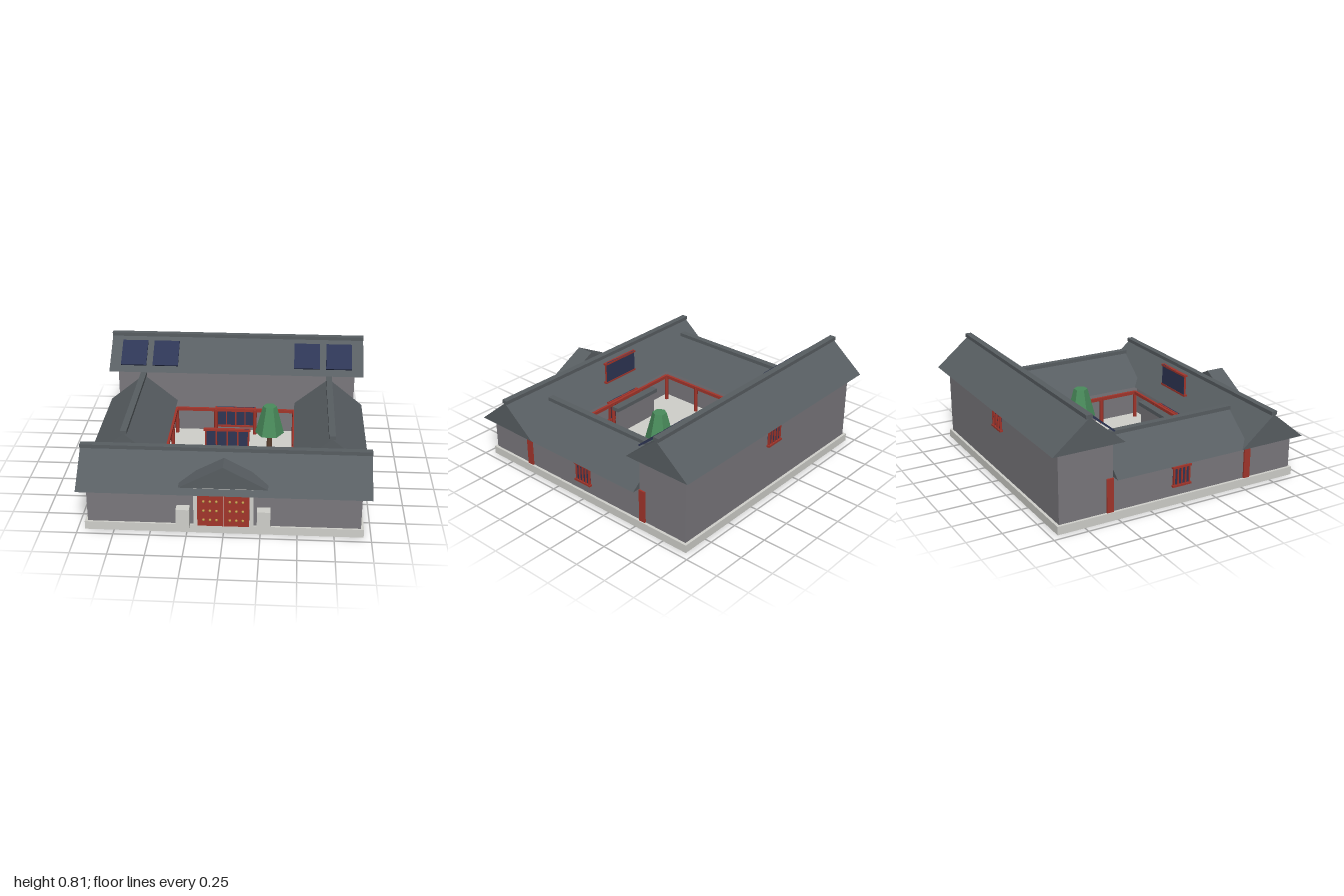
import * as THREE from 'three';

const mat = (name, color) => {
  const m = new THREE.MeshStandardMaterial({ color });
  m.name = name;
  return m;
};

export function createModel() {
  const M = {
    stone: mat('pale stone', 0xd0d0cb),
    wall: mat('grey brick', 0x7a787d),
    roof: mat('roof tile', 0x585e62),
    red: mat('red lacquer', 0xa3352b),
    glass: mat('dark blue glass', 0x2e3655),
    gold: mat('gold stud', 0xc9a050),
    leaf: mat('foliage', 0x4a8c5c),
    trunk: mat('bark', 0x5c4030),
  };
  const root = new THREE.Group();
  root.name = 'courtyardHouse';

  const add = (name, geo, material, parent = root) => {
    const mesh = new THREE.Mesh(geo, material);
    mesh.name = name;
    parent.add(mesh);
    return mesh;
  };
  // Box given by its limits on each axis
  const box = (name, material, [x0, x1], [y0, y1], [z0, z1], parent = root) => {
    const m = add(name, new THREE.BoxGeometry(x1 - x0, y1 - y0, z1 - z0), material, parent);
    m.position.set((x0 + x1) / 2, (y0 + y1) / 2, (z0 + z1) / 2);
    return m;
  };
  // Gabled prism with its ridge along z
  const gable = (half, rise, length) => {
    const s = new THREE.Shape([
      new THREE.Vector2(-half, 0), new THREE.Vector2(half, 0), new THREE.Vector2(0, rise),
    ]);
    return new THREE.ExtrudeGeometry(s, { depth: length, bevelEnabled: false }).translate(0, 0, -length / 2);
  };

  // Lattice window facing +z, centred on its own origin
  const lattice = (name, w, h, bars) => {
    const g = new THREE.Group();
    g.name = name;
    const a = w / 2, b = h / 2;
    box('pane', M.glass, [-a + 0.01, a - 0.01], [-b, b], [-0.005, 0.005], g);
    for (const s of [-1, 1]) {
      const y = s * (b - 0.007);
      box('rail', M.red, [-a, a], [y - 0.007, y + 0.007], [-0.008, 0.018], g);
    }
    for (let i = 0; i < bars; i++) {
      const x = -a + 0.014 + (i / (bars - 1)) * (w - 0.028);
      box('bar', M.red, [x - 0.005, x + 0.005], [-b, b], [-0.003, 0.013], g);
    }
    root.add(g);
    return g;
  };

  // Plinth, whose top is the courtyard floor
  box('plinth', M.stone, [-0.95, 0.95], [0, 0.06], [-0.95, 0.945]);

  // Front and back halls
  const halls = [['front', 0.725, 0.31, [0.525, 0.93]], ['back', -0.735, 0.57, [-0.93, -0.53]]];
  for (const [n, z, eave, span] of halls) {
    box(n + 'HallWalls', M.wall, [-0.93, 0.93], [0.06, eave], span);
    add(n + 'HallRoof', gable(0.262, 0.215, 1.99).rotateY(Math.PI / 2), M.roof).position.set(0, eave, z);
    box(n + 'HallRidge', M.roof, [-0.996, 0.996], [eave + 0.21, eave + 0.237], [z - 0.023, z + 0.023]);
  }

  // Side wings with corner pillars and outer windows
  for (const s of [-1, 1]) {
    const cx = s * 0.73;
    box('wingWalls', M.wall, [cx - 0.2, cx + 0.2], [0.06, 0.31], [-0.535, 0.53]);
    add('wingRoof', gable(0.265, 0.215, 1.055), M.roof).position.set(cx, 0.31, -0.0025);
    box('wingRidge', M.roof, [cx - 0.023, cx + 0.023], [0.52, 0.547], [-0.53, 0.525]);
    for (const z of [0.55, -0.555]) {
      box('cornerPillar', M.red, [s * 0.917 - 0.025, s * 0.917 + 0.025], [0.06, 0.305], [z - 0.025, z + 0.025]);
    }
    const win = lattice('sideWindow', 0.15, 0.15, 5);
    win.position.set(s * 0.935, 0.205, 0);
    win.rotation.y = s * Math.PI / 2;
  }
  const rear = lattice('rearWindow', 0.15, 0.14, 5);
  rear.position.set(0, 0.47, -0.935);
  rear.rotation.y = Math.PI;

  // Windows towards the courtyard and the raised roof lattice
  lattice('raisedLattice', 0.325, 0.17, 5).position.set(0, 0.505, 0.53);
  lattice('backHallWindow', 0.325, 0.17, 5).position.set(0, 0.18, -0.524);
  const inner = lattice('frontHallInnerWindow', 0.325, 0.17, 5);
  inner.position.set(0, 0.18, 0.519);
  inner.rotation.y = Math.PI;

  // Veranda posts and beams round the courtyard
  const P = 0.465;
  for (const s of [-1, 1]) {
    box('verandaBeam', M.red, [-P, P], [0.255, 0.28], [s * P - 0.01, s * P + 0.01]);
    box('verandaSideBeam', M.red, [s * P - 0.01, s * P + 0.01], [0.255, 0.28], [-P, P]);
    for (const t of [-P, -0.155, 0.155, P]) {
      const post = () => new THREE.CylinderGeometry(0.015, 0.015, 0.21, 8);
      add('verandaPost', post(), M.red).position.set(t, 0.165, s * P);
      if (Math.abs(t) < P) add('verandaPost', post(), M.red).position.set(s * P, 0.165, t);
    }
  }

  // Gate: stone surround, two studded leaves, flanking blocks and porch roof
  box('gateSurround', M.stone, [-0.203, 0.203], [0.06, 0.348], [0.87, 0.947]);
  for (const s of [-1, 1]) {
    box('gateLeaf', M.red, [s * 0.0885 - 0.087, s * 0.0885 + 0.087], [0.065, 0.305], [0.93, 0.962]);
    box('gateBlock', M.stone, [s * 0.273 - 0.045, s * 0.273 + 0.045], [0.06, 0.203], [0.93, 0.998]);
    for (let c = 0; c < 3; c++) for (let r = 0; r < 3; r++) {
      add('gateStud', new THREE.SphereGeometry(0.01, 6, 4), M.gold)
        .position.set(s * (0.045 + c * 0.044), 0.113 + r * 0.071, 0.965);
    }
  }
  add('porchRoof', gable(0.3, 0.16, 0.14), M.roof).position.set(0, 0.367, 0.915);

  // Roof panels on the back hall
  for (const x of [-0.805, -0.555, 0.555, 0.805]) {
    const p = add('solarPanel', new THREE.BoxGeometry(0.2, 0.012, 0.222), M.glass);
    p.position.set(x, 0.688, -0.588);
    p.rotation.x = 0.68;
  }

  // Screen wall just inside the gate
  box('screenWall', M.wall, [-0.2, 0.2], [0.06, 0.26], [0.365, 0.395]);
  box('screenWallCap', M.roof, [-0.22, 0.22], [0.26, 0.29], [0.35, 0.41]);

  // Courtyard tree
  const crown = new THREE.CylinderGeometry(0.052, 0.11, 0.22, 6).rotateY(Math.PI / 6);
  M.leaf.flatShading = true;
  add('treeCrown', crown, M.leaf).position.set(0.28, 0.355, -0.127);
  add('treeTrunk', new THREE.CylinderGeometry(0.02, 0.026, 0.19, 6), M.trunk).position.set(0.28, 0.155, -0.127);

  return root;
}
